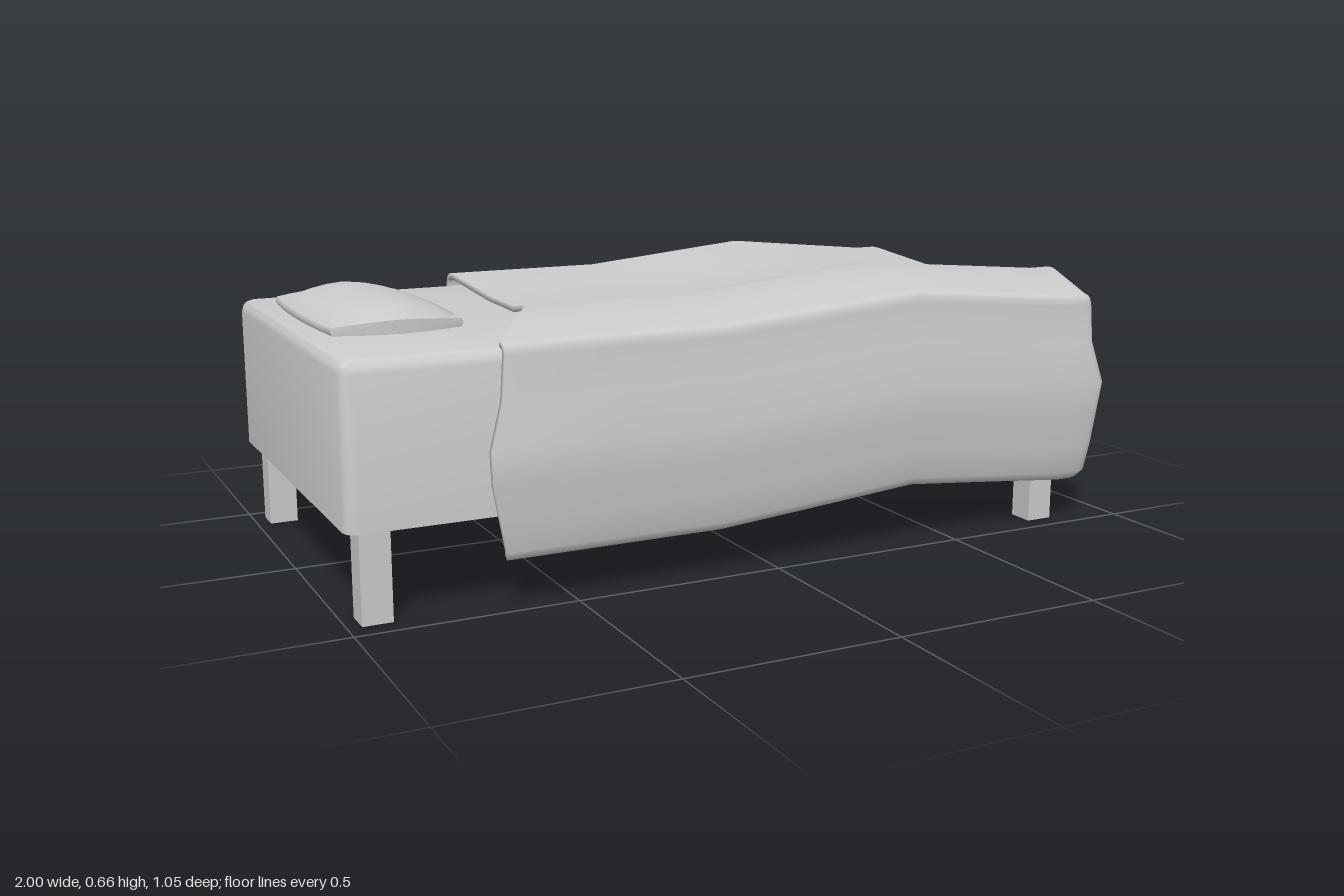
import * as THREE from 'three';
import { mergeVertices, toCreasedNormals } from 'three/addons/utils/BufferGeometryUtils.js';

const material = new THREE.MeshStandardMaterial({ color: 0xcccccc });
const clothMaterial = new THREE.MeshStandardMaterial({ color: 0xcccccc, side: THREE.DoubleSide });

// Piecewise-linear lookup through [position, value] pairs
function table(points, t) {
  if (t <= points[0][0]) return points[0][1];
  for (let i = 1; i < points.length; i++) {
    const [a, va] = points[i - 1], [b, vb] = points[i];
    if (t <= b) return va + (vb - va) * (t - a) / (b - a);
  }
  return points[points.length - 1][1];
}

// Box with chosen grid stations on each axis; edges rounded by r except
// at the bottom and, if openLeft, at the -x end. faces = BoxGeometry sides kept.
function gridBox(xs, ys, zs, r, openLeft, faces) {
  const axes = [xs, ys, zs];
  const geo = new THREE.BoxGeometry(1, 1, 1, xs.length - 1, ys.length - 1, zs.length - 1);
  const index = [];
  for (const f of faces) {
    const { start, count } = geo.groups[f];
    for (let i = start; i < start + count; i++) index.push(geo.index.array[i]);
  }
  geo.setIndex(index);
  geo.clearGroups();
  geo.deleteAttribute('uv');
  geo.deleteAttribute('normal');
  const lo = axes.map((a, k) => (k === 1 || (k === 0 && openLeft)) ? -9 : a[0] + r);
  const hi = axes.map(a => a[a.length - 1] - r);
  const pos = geo.attributes.position;
  for (let i = 0; i < pos.count; i++) {
    const p = axes.map((a, k) => a[Math.round((pos.getComponent(i, k) + 0.5) * (a.length - 1))]);
    const c = p.map((v, k) => Math.min(hi[k], Math.max(lo[k], v)));
    const d = p.map((v, k) => v - c[k]);
    const len = Math.hypot(...d), reach = Math.max(...d.map(Math.abs));
    if (len > 1e-6) p.forEach((_, k) => { p[k] = c[k] + d[k] * reach / len; });
    pos.setXYZ(i, ...p);
  }
  return mergeVertices(geo, 1e-5);
}

function deform(geo, rule) {
  const pos = geo.attributes.position, v = new THREE.Vector3();
  for (let i = 0; i < pos.count; i++) {
    rule(v.fromBufferAttribute(pos, i));
    pos.setXYZ(i, v.x, v.y, v.z);
  }
  geo.computeVertexNormals();
  return geo;
}

// Gives an open surface a thickness, with an inner skin and a closed rim
function thicken(geo, t) {
  const pos = geo.attributes.position, nor = geo.attributes.normal, n = pos.count;
  const tri = Array.from(geo.index.array), used = new Map(), index = [...tri];
  const verts = Array.from(pos.array);
  for (let i = 0; i < n * 3; i++) verts.push(pos.array[i] - nor.array[i] * t);
  for (let i = 0; i < tri.length; i += 3) {
    const [a, b, c] = tri.slice(i, i + 3);
    index.push(a + n, c + n, b + n);
    for (const [p, q] of [[a, b], [b, c], [c, a]]) used.set(p + '_' + q, [p, q]);
  }
  for (const [a, b] of used.values()) {
    if (!used.has(b + '_' + a)) index.push(b, a, a + n, b, a + n, b + n);
  }
  const out = new THREE.BufferGeometry();
  out.setAttribute('position', new THREE.Float32BufferAttribute(verts, 3));
  out.setIndex(index);
  out.computeVertexNormals();
  return out;
}

function makeBlanket() {
  const xs = [-0.47, -0.25, -0.05, 0.17, 0.4, 0.62, 0.82, 0.875, 0.893, 0.905];
  const ys = [0.11, 0.13, 0.2, 0.28, 0.36, 0.46, 0.555, 0.573, 0.585];
  const zs = [-0.5, -0.488, -0.47, -0.45, -0.3, -0.14, 0.05, 0.16, 0.27, 0.38, 0.47, 0.488, 0.5];
  const foldX = [[-0.05, 0], [0.4, 0.042], [0.82, 0]];
  const foldZ = [[-0.5, 0.01], [-0.45, 0.015], [-0.14, 0], [0.05, 0], [0.27, 0.036], [0.47, 0]];
  const footEdge = [[-0.47, 0], [-0.14, -0.035], [0.05, 0.005], [0.27, 0.065], [0.47, 0]];
  const headEdge = [[-0.47, 0.02], [0.05, 0], [0.25, -0.04], [0.47, -0.19]];
  const bulge = [[0.11, -0.015], [0.13, 0], [0.2, 0.01], [0.36, 0.026], [0.46, 0.005], [0.555, 0]];
  const headSkirt = [[0.11, 0], [0.34, -0.05], [0.45, -0.01], [0.56, 0]];
  const geo = deform(gridBox(xs, ys, zs, 0.03, true, [0, 2, 4, 5]), p => {
    const { x, y, z } = p;
    const head = (0.905 - x) / 1.375, foot = table([[0.4, 0], [0.875, 1]], x);
    const out = table(bulge, y);
    p.y += table(foldX, x) + table(foldZ, z);
    p.z *= 1 + out / 0.5;
    p.x += head * head * table(headEdge, z) + head ** 4 * table(headSkirt, y)
      + foot * table(footEdge, z) + table([[0.82, 0], [0.875, 1]], x) * out;
  });
  return thicken(geo, 0.015);
}

function makePillow() {
  // Pinched corners, bowed sides and a domed top above a thin seam
  const geo = new THREE.BoxGeometry(2, 2, 2, 8, 2, 8);
  geo.deleteAttribute('uv');
  geo.deleteAttribute('normal');
  return toCreasedNormals(deform(mergeVertices(geo), p => {
    const { x: u, y: s, z: v } = p;
    const dome = (1 - Math.abs(u) ** 1.6) * (1 - 0.75 * v ** 4);
    p.x = -0.807 + u * (0.145 + 0.012 * (1 - v * v)) + (s === 0 ? 0.004 * u : 0);
    p.z = -0.013 + v * (0.253 + 0.022 * (1 - u * u));
    p.y = s > 0 ? 0.597 + 0.043 * dome : s < 0 ? 0.579 - 0.01 * dome : 0.588;
  }), 1);
}

export function createModel() {
  const bed = new THREE.Group();
  bed.name = 'bed';
  const add = (name, geo, mat = material) => {
    const mesh = new THREE.Mesh(geo, mat);
    mesh.name = name;
    bed.add(mesh);
    return mesh;
  };

  // Mattress with soft upper edges and a flat base
  const mattress = gridBox([-1, -0.988, -0.97, 0.82, 0.838, 0.85], [0.205, 0.537, 0.555, 0.567],
    [-0.48, -0.468, -0.45, 0.44, 0.458, 0.47], 0.03, false, [0, 1, 2, 3, 4, 5]);
  add('mattress', toCreasedNormals(mattress, 1));

  // Four square legs
  for (const [end, x] of [['head', -0.935], ['foot', 0.797]]) {
    for (const [side, z] of [['Front', 0.417], ['Back', -0.423]]) {
      add(end + side + 'Leg', new THREE.BoxGeometry(0.068, 0.22, 0.065)).position.set(x, 0.11, z);
    }
  }

  add('pillow', makePillow());
  add('blanket', makeBlanket(), clothMaterial);
  return bed;
}
